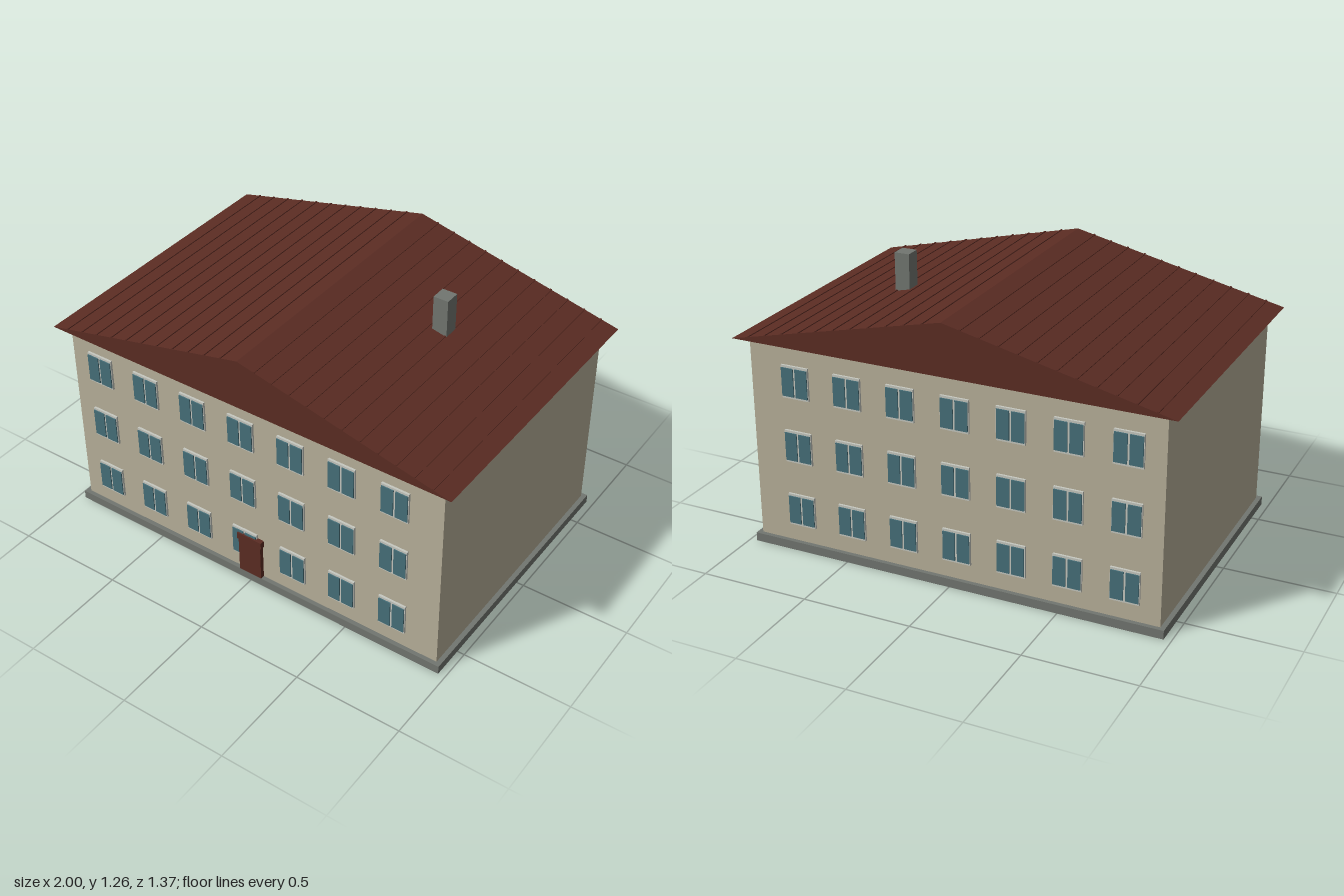
import * as THREE from 'three';

const mat = (name, color) => new THREE.MeshStandardMaterial({ name, color });

export function createModel() {
  const house = new THREE.Group();
  house.name = 'apartmentHouse';

  const wall = mat('beigePlaster', 0xb8b09a);
  const red = mat('darkRed', 0x5b2c23);
  const grey = mat('stoneGrey', 0x727670);
  const trim = mat('windowTrim', 0xc6c8c0);
  const glass = mat('blueGlass', 0x466f79);

  // Box given by its lower and upper corner
  const box = (parent, name, material, [x0, y0, z0], [x1, y1, z1]) => {
    const mesh = new THREE.Mesh(new THREE.BoxGeometry(x1 - x0, y1 - y0, z1 - z0), material);
    mesh.position.set((x0 + x1) / 2, (y0 + y1) / 2, (z0 + z1) / 2);
    mesh.name = name;
    parent.add(mesh);
    return mesh;
  };

  // Plinth and walls
  box(house, 'plinth', grey, [-0.967, 0, -0.653], [0.967, 0.04, 0.653]);
  box(house, 'walls', wall, [-0.945, 0.04, -0.633], [0.945, 0.976, 0.633]);

  // Gabled roof: a prism with its ridge along z
  const eave = 0.975, ridge = 1.207, depth = 1.366;
  const gable = new THREE.Shape([
    new THREE.Vector2(-1, eave),
    new THREE.Vector2(1, eave),
    new THREE.Vector2(0, ridge),
  ]);
  const roofGeometry = new THREE.ExtrudeGeometry(gable, { depth, bevelEnabled: false });
  roofGeometry.translate(0, 0, -depth / 2);
  const roof = new THREE.Mesh(roofGeometry, red);
  roof.name = 'roof';
  house.add(roof);

  // Slim seams running the length of both slopes
  const seams = new THREE.Group();
  seams.name = 'roofSeams';
  house.add(seams);
  const rise = ridge - eave, slope = Math.atan(rise);
  const seamGeometry = new THREE.BoxGeometry(0.008, 0.008, depth);
  for (const side of [-1, 1]) {
    for (let i = 1; i <= 11; i++) {
      const x = i / 12;
      const seam = new THREE.Mesh(seamGeometry, red);
      seam.name = 'roofSeam';
      seam.position.set(side * x, ridge - rise * x, 0);
      seam.rotation.z = -side * slope;
      seams.add(seam);
    }
  }

  // Chimney
  box(house, 'chimney', grey, [0.437, 1.06, -0.143], [0.507, 1.265, -0.072]);

  // Windows: a trim panel with two panes, seven by three on both long fronts
  const trimGeometry = new THREE.BoxGeometry(0.13, 0.15, 0.014);
  const paneGeometry = new THREE.BoxGeometry(0.057, 0.13, 0.008);
  for (const side of [1, -1]) {
    const windows = new THREE.Group();
    windows.name = side > 0 ? 'frontWindows' : 'backWindows';
    house.add(windows);
    for (const y of [0.195, 0.5, 0.802]) {
      for (let col = 0; col < 7; col++) {
        const unit = new THREE.Group();
        unit.name = 'window';
        unit.position.set(-0.79 + col * 0.2525, y, side * 0.636);
        const panel = new THREE.Mesh(trimGeometry, trim);
        panel.name = 'windowTrim';
        unit.add(panel);
        for (const s of [-1, 1]) {
          const pane = new THREE.Mesh(paneGeometry, glass);
          pane.name = 'windowPane';
          pane.position.set(s * 0.0335, 0, side * 0.008);
          unit.add(pane);
        }
        windows.add(unit);
      }
    }
  }

  // Front door with a slightly wider lintel
  box(house, 'door', red, [-0.058, 0.04, 0.63], [0.058, 0.235, 0.653]);
  box(house, 'doorLintel', red, [-0.064, 0.216, 0.63], [0.064, 0.25, 0.655]);

  return house;
}
